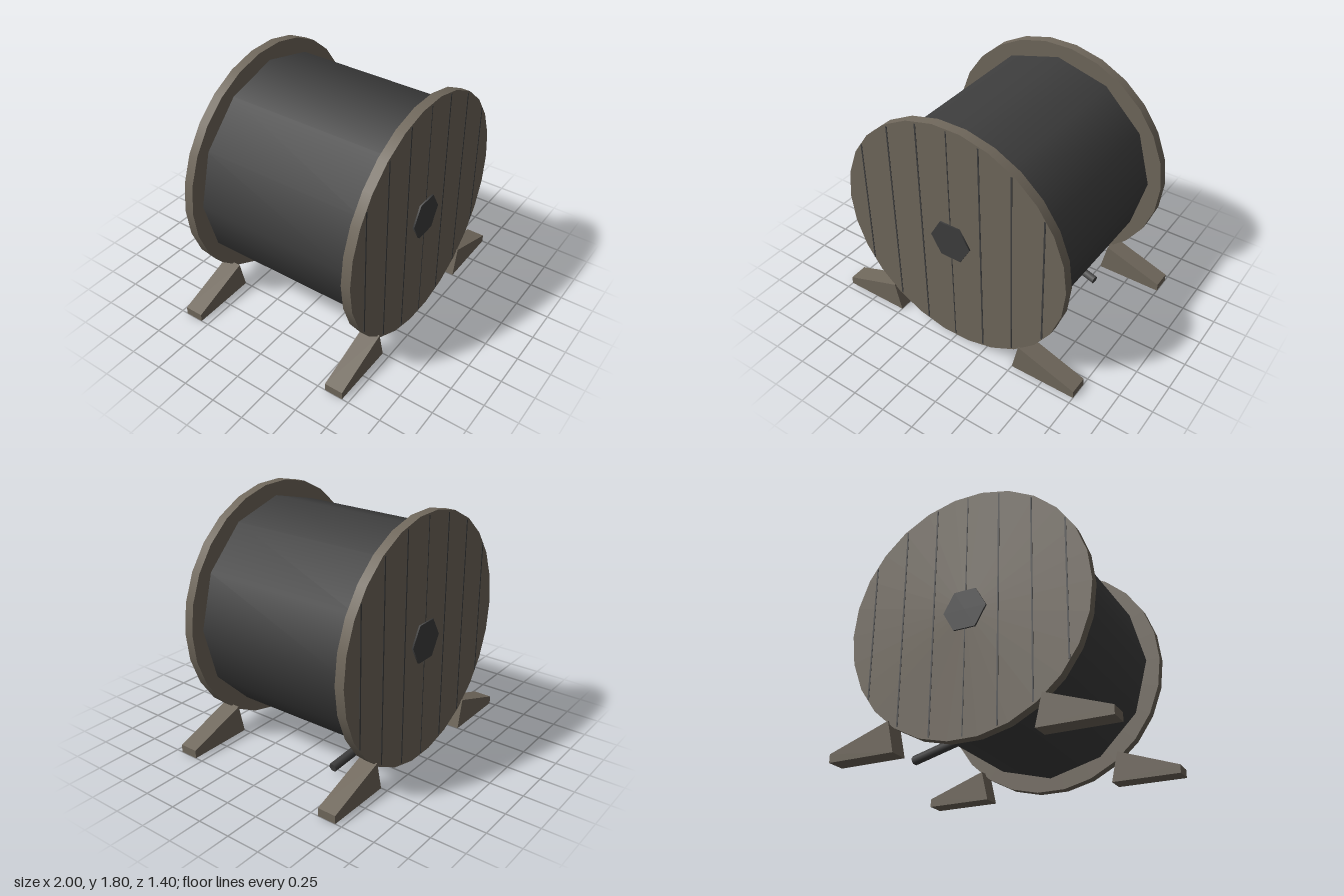
import * as THREE from 'three';

export function createModel() {
  const model = new THREE.Group();
  model.name = 'cableReel';
  const wood = new THREE.MeshStandardMaterial({ color: 0x70685c });
  wood.name = 'weathered wood';
  const dark = new THREE.MeshStandardMaterial({ color: 0x3e3e3e });
  dark.name = 'dark rubber';
  const CY = 0.905, R = 0.897;

  const add = (name, geometry, material, x = 0, y = 0, z = 0) => {
    const mesh = new THREE.Mesh(geometry, material);
    mesh.name = name;
    mesh.position.set(x, y, z);
    model.add(mesh);
    return mesh;
  };
  // Cylinder lying along z with a corner on the x axis
  const disc = (r, depth, sides) =>
    new THREE.CylinderGeometry(r, r, depth, sides, 1, false, Math.PI / 2).rotateX(Math.PI / 2);

  // Wound cable body
  add('cableDrum', disc(0.795, 1.26, 12), dark, 0, CY, 0);

  // Wedge profile of a foot
  const wedge = new THREE.Shape([
    new THREE.Vector2(0.5, 0), new THREE.Vector2(1, 0),
    new THREE.Vector2(1, 0.06), new THREE.Vector2(0.55, 0.22),
  ]);
  const footGeometry = new THREE.ExtrudeGeometry(wedge, { depth: 0.14, bevelEnabled: false });
  footGeometry.translate(0, 0, -0.07);

  for (const side of [1, -1]) {
    const end = side > 0 ? 'front' : 'back';
    add(end + 'Flange', disc(R, 0.07, 26), wood, 0, CY, side * 0.653);
    add(end + 'AxleCap', disc(0.16, 0.03, 6), dark, 0, CY, side * 0.685);

    // Plank gaps on the outer face
    for (let i = -3; i <= 3; i++) {
      const x = i * 0.243;
      const length = 2 * Math.sqrt(R * R - x * x) - 0.04;
      add(end + 'PlankGap', new THREE.BoxGeometry(i ? 0.012 : 0.008, length, 0.004), dark, x, CY, side * 0.688);
    }

    // Pair of feet
    add(end + 'LeftFoot', footGeometry, wood, 0, 0, side * 0.63);
    add(end + 'RightFoot', footGeometry, wood, 0, 0, side * 0.63).rotation.y = Math.PI;
  }

  // Last turn of cable, just breaking the drum surface
  const turn = [];
  for (let i = 0; i <= 6; i++) {
    const a = THREE.MathUtils.degToRad(-12 - i * 7);
    turn.push(new THREE.Vector3(0.738 * Math.cos(a), CY + 0.738 * Math.sin(a), -0.37));
  }
  add('cableTurn', new THREE.TubeGeometry(new THREE.CatmullRomCurve3(turn), 12, 0.033, 6), dark);

  // Loose cable end running out underneath
  const from = new THREE.Vector3(0.1, 0.145, -0.40), to = new THREE.Vector3(0.57, 0.055, -0.34);
  const tail = add('cableTail', new THREE.CylinderGeometry(0.033, 0.033, from.distanceTo(to), 6), dark);
  tail.position.copy(from).lerp(to, 0.5);
  tail.quaternion.setFromUnitVectors(new THREE.Vector3(0, 1, 0), to.clone().sub(from).normalize());

  return model;
}
